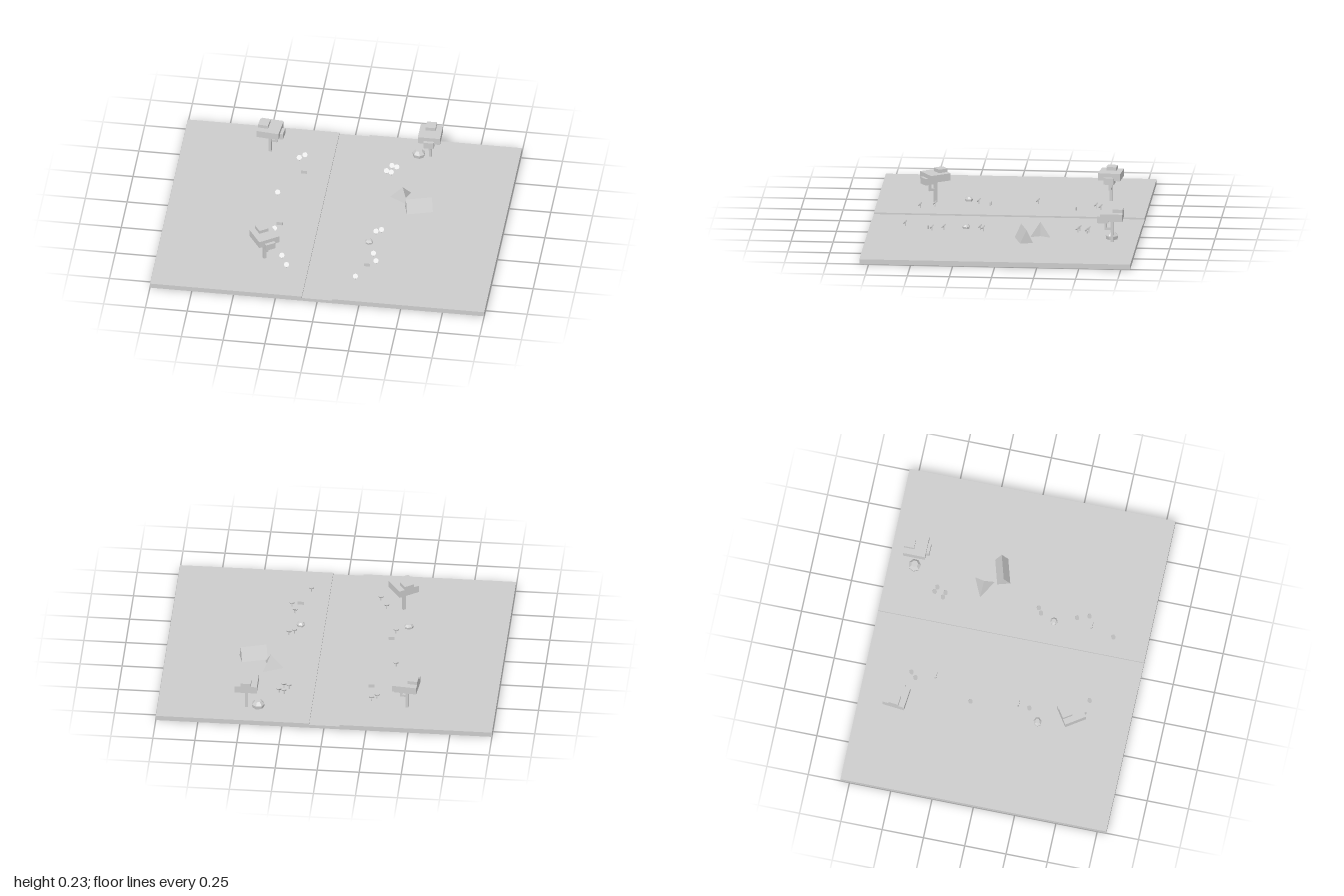
import * as THREE from 'three';

const GROUND = 0.03;

export function createModel() {
  const root = new THREE.Group();
  root.name = 'campsite';
  const mat = new THREE.MeshStandardMaterial({ color: 0xcccccc, flatShading: true });
  const sheet = new THREE.MeshStandardMaterial({ color: 0xcccccc, flatShading: true, side: THREE.DoubleSide });

  const add = (parent, name, geo, x = 0, y = 0, z = 0, m = mat) => {
    const mesh = new THREE.Mesh(geo, m);
    mesh.name = name;
    mesh.position.set(x, y, z);
    parent.add(mesh);
    return mesh;
  };
  const group = (name, x, z, turn = 0) => {
    const g = new THREE.Group();
    g.name = name;
    g.position.set(x, GROUND, z);
    g.rotation.y = turn;
    root.add(g);
    return g;
  };
  const box = (w, h, d) => new THREE.BoxGeometry(w, h, d);

  // Ground slab with a shallow river channel running front to back
  const section = new THREE.Shape([
    [-1, 0], [1, 0], [1, GROUND], [0.088, GROUND], [0.088, 0.02],
    [-0.092, 0.02], [-0.092, GROUND], [-1, GROUND],
  ].map(([x, y]) => new THREE.Vector2(x, y)));
  const slab = new THREE.ExtrudeGeometry(section, { depth: 1.61, bevelEnabled: false });
  add(root, 'ground', slab, 0, 0, -0.805);

  // Blocky trees; local +z points toward the side branch
  const tree = (x, z, turn) => {
    const g = group('tree', x, z, turn);
    add(g, 'trunk', box(0.017, 0.15, 0.017), 0, 0.07, 0);
    add(g, 'branch', box(0.013, 0.014, 0.04), 0, 0.08, 0.022);
    add(g, 'branchTip', box(0.013, 0.05, 0.013), 0, 0.098, 0.037);
    add(g, 'canopy', box(0.133, 0.044, 0.133), 0, 0.161, 0);
    add(g, 'canopyTop', box(0.06, 0.022, 0.06), 0, 0.193, -0.0365);
    add(g, 'sideFoliage', box(0.062, 0.04, 0.066), 0, 0.139, 0.052);
  };
  tree(-0.475, -0.575, Math.atan2(0.99, 0.1));
  tree(0.473, -0.655, 0);
  tree(-0.363, 0.46, Math.atan2(0.56, 0.83));

  // Flowers: a thin stem with a tilted disc facing forward and up
  const stem = new THREE.CylinderGeometry(0.0025, 0.003, 0.026, 5);
  const head = new THREE.CylinderGeometry(0.016, 0.014, 0.006, 8);
  const flowers = [
    [-0.29, -0.50], [-0.26, -0.53], [-0.37, -0.15], [-0.34, 0.20], [-0.26, 0.455],
    [-0.22, 0.54], [0.265, -0.50], [0.295, -0.49], [0.24, -0.445], [0.27, -0.435],
    [0.26, 0.145], [0.29, 0.125], [0.275, 0.36], [0.30, 0.43], [0.20, 0.595],
  ];
  for (const [x, z] of flowers) {
    const g = group('flower', x, z);
    add(g, 'stem', stem, 0, 0.012, -0.002);
    add(g, 'flowerHead', head, 0, 0.024, 0).rotation.x = 0.75;
  }

  // Low rocks with uneven, flattened tops
  const rock = (x, z, rx, h, rz, turn) => {
    const g = group('rock', x, z, turn);
    add(g, 'rockBase', new THREE.CylinderGeometry(0.92, 0.85, 0.5, 7), 0, h * 0.25, 0).scale.set(rx, h, rz);
    add(g, 'rockTop', new THREE.CylinderGeometry(0.5, 0.92, 0.5, 7), 0, h * 0.75, 0).scale.set(rx, h, rz);
  };
  rock(-0.41, 0.265, 0.031, 0.026, 0.026, 0.4);
  rock(0.405, -0.65, 0.042, 0.042, 0.041, 0.2);
  rock(0.23, 0.23, 0.027, 0.024, 0.025, 0);

  // Small upright stones
  for (const [x, z] of [[-0.245, -0.385], [-0.318, 0.13], [0.25, 0.455]]) {
    add(root, 'stone', box(0.036, 0.022, 0.01), x, GROUND + 0.01, z);
  }

  // Ridge tent
  const gable = new THREE.Shape([
    new THREE.Vector2(-0.039, 0), new THREE.Vector2(0.039, 0), new THREE.Vector2(0, 0.081),
  ]);
  const ridge = new THREE.ExtrudeGeometry(gable, { depth: 0.155, bevelEnabled: false });
  ridge.translate(0, 0, -0.0775);
  add(group('ridgeTent', 0.478, -0.132, Math.atan2(0.96, -0.28)), 'tentCover', ridge, 0, 0, 0, sheet);

  // Pointed tent: two outer walls and two flaps folded inward
  const rim = [[0.405, -0.165], [0.292, -0.23], [0.41, -0.285], [0.38, -0.222]];
  const apex = [0.368, 0.085, -0.222];
  const pts = rim.flatMap(([x, z], i) => {
    const [nx, nz] = rim[(i + 1) % rim.length];
    return [x, 0, z, ...apex, nx, 0, nz];
  });
  const walls = new THREE.BufferGeometry();
  walls.setAttribute('position', new THREE.Float32BufferAttribute(pts, 3));
  walls.computeVertexNormals();
  add(group('pointedTent', 0, 0), 'tentWalls', walls, 0, 0, 0, sheet);

  return root;
}
